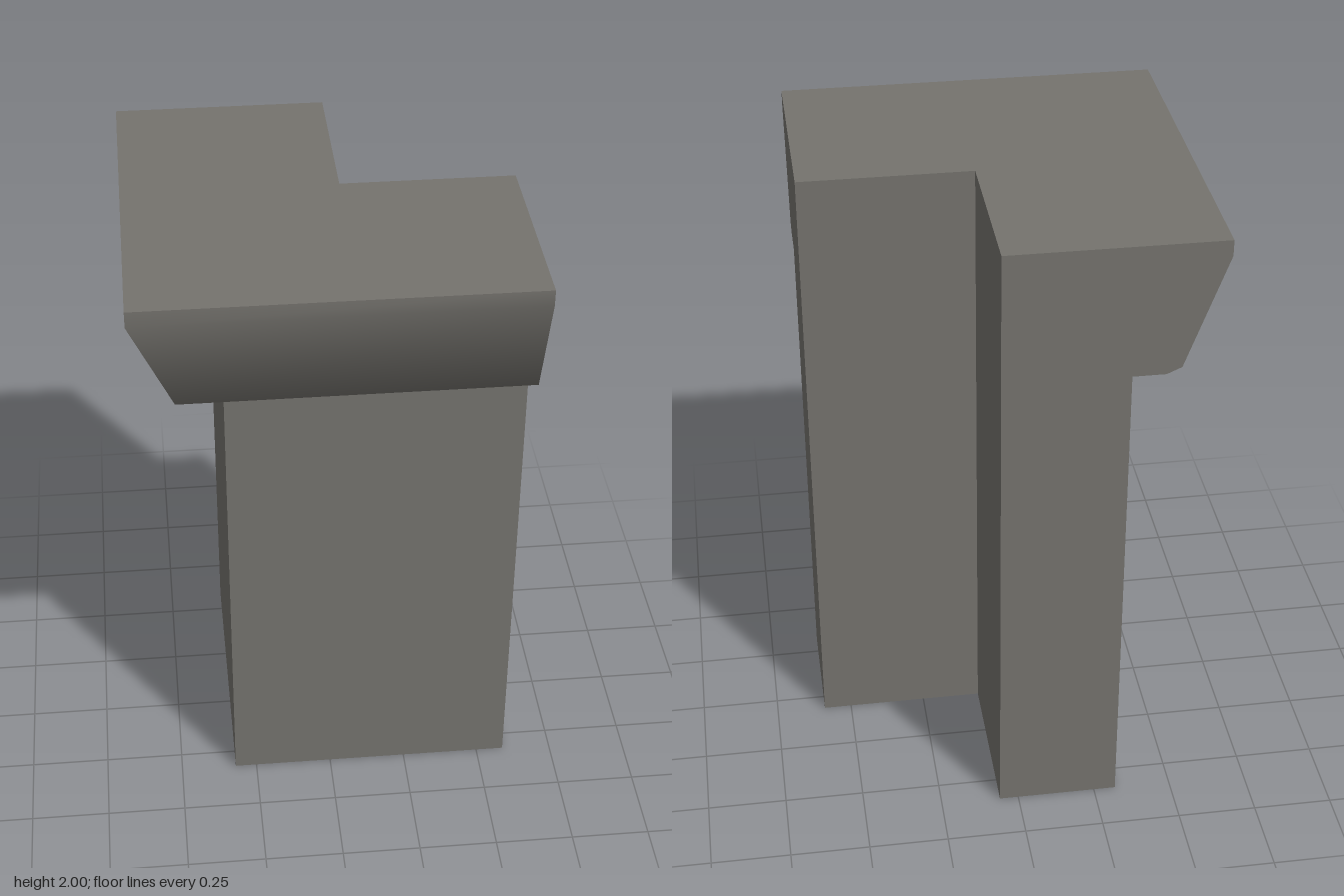
import * as THREE from 'three';
import { toCreasedNormals } from 'three/addons/utils/BufferGeometryUtils.js';

const END = 0.59; // where both wings are cut off

// Wall section with flared cornice: [distance outward, height]
const PROFILE = [
  [-0.06, 0], [0.32, 0], [0.32, 1.58], [0.42, 1.58],
  [0.465, 1.6], [0.592, 1.95], [0.592, 2], [-0.06, 2],
];

// One wing: the section swept from a 45 degree mitre to a square end.
// place(d, t) gives [x, z] for distance outward d and position t along the sweep.
function wing(name, mitreT, place, material) {
  const shape = new THREE.Shape(PROFILE.map(([d, y]) => new THREE.Vector2(d, y)));
  const swept = new THREE.ExtrudeGeometry(shape, { depth: 1, bevelEnabled: false });
  const source = swept.toNonIndexed ? (swept.index ? swept.toNonIndexed() : swept) : swept;
  const p = source.attributes.position;
  const points = [];
  for (let i = 0; i < p.count; i += 3) {
    // leave out the hidden mitre face
    if ([0, 1, 2].every((k) => Math.abs(p.getZ(i + k) - mitreT) < 1e-6)) continue;
    for (let k = 0; k < 3; k++) {
      const [x, z] = place(p.getX(i + k), p.getZ(i + k));
      points.push(x, p.getY(i + k), z);
    }
  }
  const geometry = new THREE.BufferGeometry();
  geometry.setAttribute('position', new THREE.Float32BufferAttribute(points, 3));
  const mesh = new THREE.Mesh(toCreasedNormals(geometry, 0.87), material);
  mesh.name = name;
  return mesh;
}

export function createModel() {
  const model = new THREE.Group();
  model.name = 'wallCorner';
  const stone = new THREE.MeshStandardMaterial({ color: 0x75736e });
  stone.name = 'stone grey';
  const lerp = THREE.MathUtils.lerp;

  // Front wing runs along x, side wing along z; they meet at the mitre
  model.add(wing('frontWall', 1, (d, t) => [lerp(END, -d, t), d], stone));
  model.add(wing('sideWall', 0, (d, t) => [-d, lerp(d, -END, t)], stone));
  return model;
}
